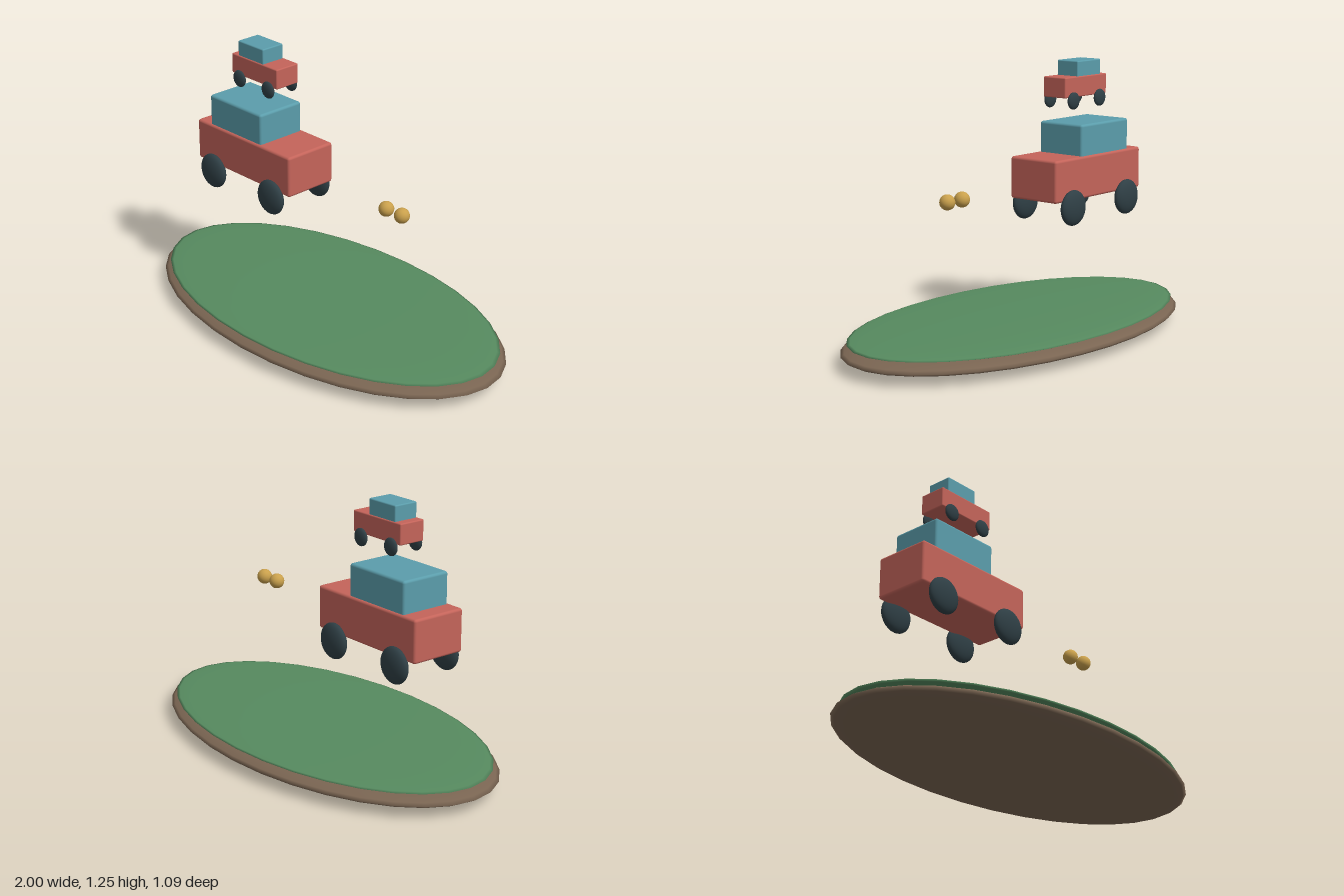
import * as THREE from 'three';
import { RoundedBoxGeometry } from 'three/addons/geometries/RoundedBoxGeometry.js';

const paint = (color) => new THREE.MeshStandardMaterial({ color });
const RED = paint(0xc4645a), TEAL = paint(0x5b9dab), TYRE = paint(0x2f3f45);
const GRASS = paint(0x568a5f), SOIL = paint(0x7a6552), GOLD = paint(0xc9a04c);

function add(parent, name, geometry, material, x, y, z) {
  const mesh = new THREE.Mesh(geometry, material);
  mesh.name = name;
  mesh.position.set(x, y, z);
  parent.add(mesh);
  return mesh;
}

// Sphere stretched to three radii
const ellipsoid = (rx, ry, rz, w = 32, h = 16) =>
  new THREE.SphereGeometry(1, w, h).scale(rx, ry, rz);

// Toy car centred on its body, heading along x
function createCar(name) {
  const car = new THREE.Group();
  car.name = name;
  add(car, 'body', new RoundedBoxGeometry(0.64, 0.196, 0.27, 3, 0.012), RED, 0, 0, 0);
  add(car, 'cabin', new RoundedBoxGeometry(0.355, 0.175, 0.25, 3, 0.012), TEAL, -0.058, 0.156, 0);
  for (const x of [-0.203, 0.203]) {
    for (const z of [-0.143, 0.143]) {
      add(car, 'wheel', ellipsoid(0.083, 0.083, 0.033), TYRE, x, -0.129, z);
    }
  }
  return car;
}

export function createModel() {
  const model = new THREE.Group();
  model.name = 'floatingCarIsland';

  // Island: flattened soil with a thin grass cap
  add(model, 'soil', ellipsoid(1, 0.058, 0.545), SOIL, 0, 0.058, 0);
  add(model, 'grass', ellipsoid(0.968, 0.02, 0.522), GRASS, 0, 0.103, 0);

  // Large car with a smaller copy floating above
  const largeCar = createCar('largeCar');
  largeCar.position.set(-0.43, 0.718, 0);
  const smallCar = createCar('smallCar');
  smallCar.position.set(-0.417, 1.131, 0);
  smallCar.scale.setScalar(0.483);
  model.add(largeCar, smallCar);

  // Pair of golden balls
  for (const x of [0.375, 0.47]) {
    add(model, 'goldBall', ellipsoid(0.035, 0.035, 0.035), GOLD, x, 0.693, 0);
  }
  return model;
}
